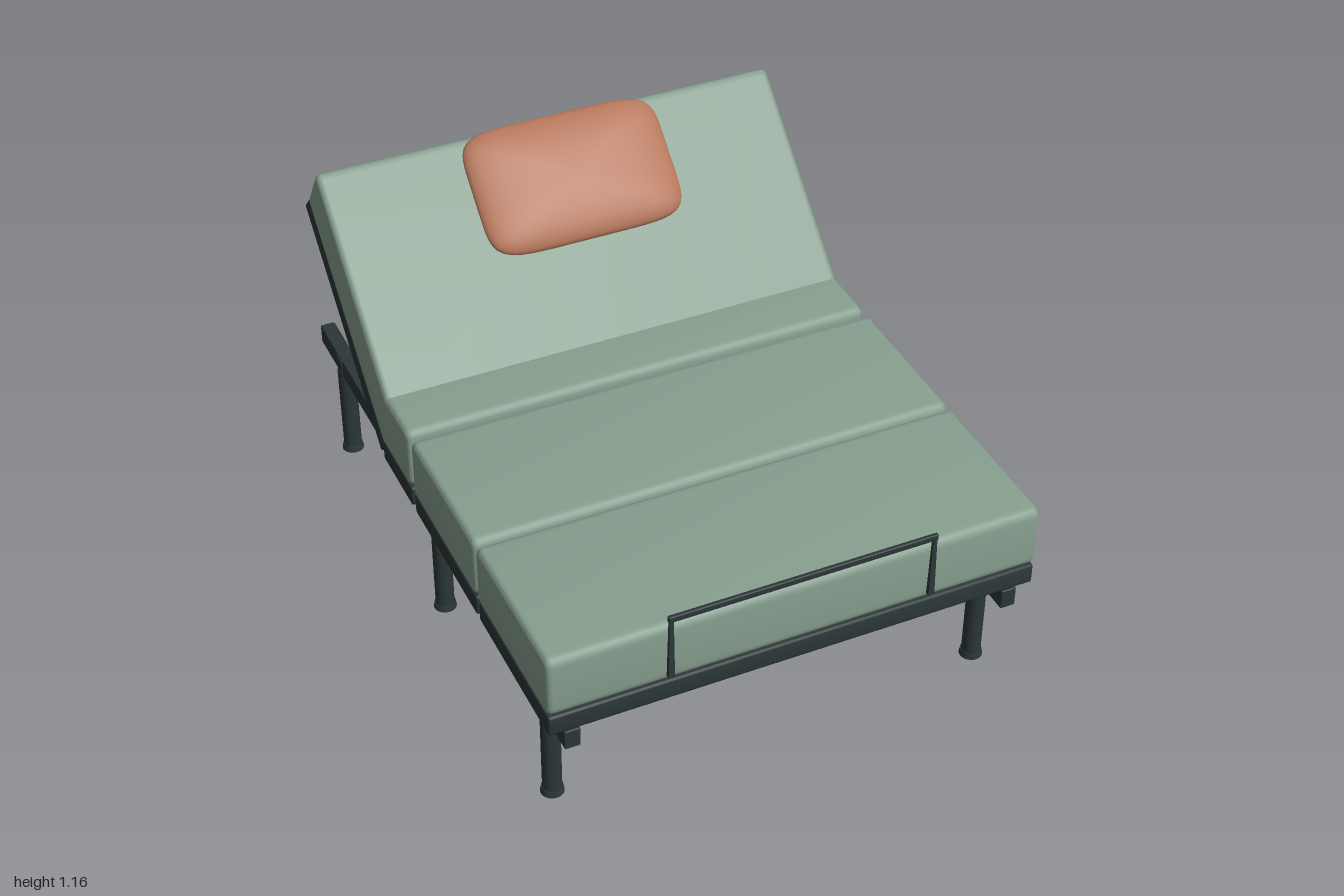
import * as THREE from 'three';
import { mergeVertices, toCreasedNormals } from 'three/addons/utils/BufferGeometryUtils.js';
import { RoundedBoxGeometry } from 'three/addons/geometries/RoundedBoxGeometry.js';

const CX = -0.018;   // middle of the bed
const TILT = 0.735;  // slope of the raised back, in radians

const material = (name, color) => {
  const m = new THREE.MeshStandardMaterial({ color });
  m.name = name;
  return m;
};

// Closed [z, y] outline; every corner given a radius in its third entry is rounded
function roundedShape(points) {
  const shape = new THREE.Shape();
  const n = points.length;
  points.forEach(([z, y, r = 0], i) => {
    const p = new THREE.Vector2(z, y);
    const toward = ([a, b]) => new THREE.Vector2(a, b).sub(p).setLength(r).add(p);
    const start = toward(points[(i + n - 1) % n]);
    const end = toward(points[(i + 1) % n]);
    if (i === 0) shape.moveTo(start.x, start.y);
    else shape.lineTo(start.x, start.y);
    if (r > 0) shape.quadraticCurveTo(z, y, end.x, end.y);
  });
  shape.closePath();
  return shape;
}

// Side profile extruded across the bed with softened ends
function profileSlab(points, width, bevel) {
  const g = new THREE.ExtrudeGeometry(roundedShape(points), {
    depth: width - 2 * bevel, bevelEnabled: true, bevelSize: bevel,
    bevelThickness: bevel, bevelOffset: -bevel, bevelSegments: 4, curveSegments: 5,
  });
  g.translate(0, 0, -(width - 2 * bevel) / 2);
  g.rotateY(-Math.PI / 2);
  g.translate(CX, 0, 0);
  return toCreasedNormals(g, 0.6);
}

const rectangle = (z0, z1, y0, y1, r) =>
  [[z0, y0, r], [z1, y0, r], [z1, y1, r], [z0, y1, r]];

// Lens-like cushion with a rounded rectangular outline
function pillowGeometry(a, t, b) {
  const g = new THREE.SphereGeometry(1, 80, 24);
  const p = g.attributes.position;
  for (let i = 0; i < p.count; i++) {
    const x = p.getX(i), y = p.getY(i), z = p.getZ(i);
    const flat = Math.hypot(x, z);
    const k = flat < 1e-6 ? 0
      : flat / Math.pow(Math.abs(x) ** 6 + Math.abs(z) ** 6, 1 / 6);
    p.setXYZ(i, x * k * a, y * t, z * k * b);
  }
  g.deleteAttribute('uv');
  g.deleteAttribute('normal');
  const merged = mergeVertices(g, 1e-5);
  merged.computeVertexNormals();
  return merged;
}

export function createModel() {
  const model = new THREE.Group();
  model.name = 'adjustableBed';
  const fabric = material('sageFabric', 0x879f8f);
  const metal = material('darkMetal', 0x2c3737);
  const terracotta = material('terracottaFabric', 0xb5775c);
  const steel = material('greySteel', 0x6f7775);

  const add = (name, geometry, mat, x = 0, y = 0, z = 0, parent = model) => {
    const mesh = new THREE.Mesh(geometry, mat);
    mesh.name = name;
    mesh.position.set(x, y, z);
    parent.add(mesh);
    return mesh;
  };
  const box = (name, w, h, d, x, y, z, mat = metal, r = 0.004) =>
    add(name, new RoundedBoxGeometry(w, h, d, 2, r), mat, x, y, z);

  // Mattress: two flat sections and one that bends up into the back
  const W = 1.455;
  add('footMattress', profileSlab(rectangle(0.477, 0.977, 0.448, 0.645, 0.03), W, 0.018), fabric);
  add('middleMattress', profileSlab(rectangle(-0.018, 0.467, 0.448, 0.645, 0.03), W, 0.018), fabric);
  add('headMattress', profileSlab([
    [-0.042, 0.448, 0.03], [-0.042, 0.645, 0.03], [-0.22, 0.645],
    [-0.732, 1.115, 0.03], [-0.84, 0.958, 0.03], [-0.275, 0.448],
  ].reverse(), W, 0.018), fabric);

  // Platform panels under the mattress
  const panels = [['footPanel', 0.48, 0.975], ['middlePanel', -0.018, 0.465], ['seatPanel', -0.285, -0.042]];
  for (const [name, z0, z1] of panels) {
    add(name, profileSlab(rectangle(z0, z1, 0.38, 0.446, 0.012), W - 0.006, 0.006), metal);
  }
  add('backPanel', profileSlab([
    [-0.268, 0.438, 0.01], [-0.838, 0.957, 0.01], [-0.88, 0.911, 0.01], [-0.308, 0.388, 0.01],
  ], W - 0.006, 0.006), metal);

  // Hinges between the panels
  for (const side of [-1, 1]) {
    for (const z of [0.472, -0.03]) box('panelHinge', 0.04, 0.03, 0.05, CX + side * 0.495, 0.408, z);
  }

  // Base frame: side rails, cross rails and legs with feet
  const legZ = [0.81, -0.01, -0.832];
  for (const side of [-1, 1]) {
    const x = CX + side * 0.657;
    box('sideRail', 0.046, 0.063, 1.97, x, 0.342, -0.015);
    for (const z of legZ) {
      add('leg', new THREE.CylinderGeometry(0.028, 0.028, 0.3, 24), metal, x, 0.16, z);
      add('foot', new THREE.CylinderGeometry(0.031, 0.034, 0.018, 24), metal, x, 0.009, z);
    }
    // Supports between the frame and the seat
    box('frameSpacer', 0.036, 0.02, 0.15, CX + side * 0.495, 0.373, 0.055);
  }
  for (const z of [0.79, -0.015, -0.815]) {
    box('crossRail', 1.32, 0.054, 0.042, CX, 0.34, z);
    for (const side of [-1, 1]) box('railBracket', 0.054, 0.056, 0.042, CX + side * 0.657, 0.343, z);
  }

  // Small clips beneath the seat and the raised back
  for (const side of [-1, 1]) {
    const x = CX + side * 0.495;
    box('seatClip', 0.022, 0.014, 0.036, x, 0.376, -0.16, steel);
    box('backClip', 0.022, 0.014, 0.036, x, 0.682, -0.633, steel).rotation.x = TILT;
  }

  // Mattress retainer at the foot end, with posts that taper upward
  box('retainerBar', 0.79, 0.02, 0.013, CX, 0.682, 0.992);
  for (const side of [-1, 1]) {
    const post = new THREE.CylinderGeometry(0.008, 0.013, 0.205, 4, 1);
    post.rotateY(Math.PI / 4);
    post.scale(1, 1, 0.7);
    add('retainerPost', toCreasedNormals(post, 0.5), metal, CX + side * 0.386, 0.583, 0.992);
  }

  // Hand control on the side
  box('handControl', 0.034, 0.018, 0.105, 0.727, 0.466, 0.02, metal, 0.006);
  for (const z of [-0.012, 0.02, 0.052]) box('controlButton', 0.02, 0.006, 0.018, 0.727, 0.476, z, metal, 0.002);
  box('controlHolder', 0.03, 0.008, 0.03, 0.705, 0.46, 0.02, metal, 0.002);

  // Pillow resting on the raised back
  add('pillow', pillowGeometry(0.312, 0.058, 0.196), terracotta, CX, 1.021, -0.537).rotation.x = TILT;

  return model;
}
